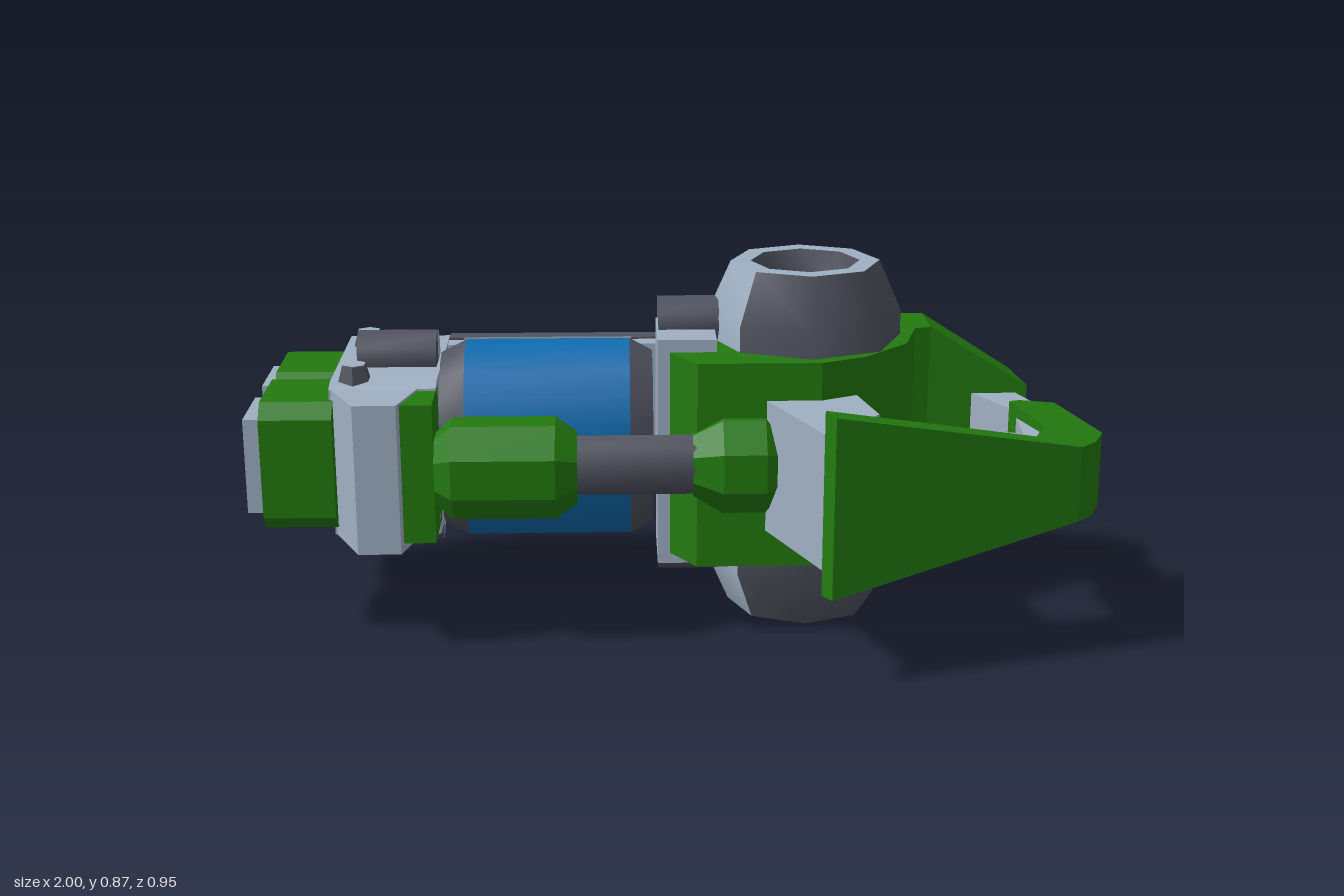
import * as THREE from 'three';
import { toCreasedNormals } from 'three/addons/utils/BufferGeometryUtils.js';

const CY = 0.44; // height of the symmetry plane

export function createModel() {
  const root = new THREE.Group();
  const mat = (name, color) => {
    const m = new THREE.MeshStandardMaterial({ color });
    m.name = name;
    return m;
  };
  const green = mat('green', 0x237a10);
  const light = mat('lightGrey', 0x9fb0c2);
  const dark = mat('darkGrey', 0x50535f);
  const blue = mat('blue', 0x0f6cb0);
  const orange = mat('orange', 0xe2600f);
  const yellow = mat('yellow', 0xe0b010);

  const add = (name, geo, material) => {
    const mesh = new THREE.Mesh(geo, material);
    mesh.name = name;
    root.add(mesh);
    return mesh;
  };

  // Plan outline [x, z] extruded up and down by a half height h(x, z)
  const prism = (name, pts, h, material) => {
    const shape = new THREE.Shape(pts.map(([x, z]) => new THREE.Vector2(x, -z)));
    const g = new THREE.ExtrudeGeometry(shape, { depth: 2, bevelEnabled: false });
    g.rotateX(-Math.PI / 2);
    const p = g.attributes.position;
    for (let i = 0; i < p.count; i++) {
      const half = typeof h === 'number' ? h : h(p.getX(i), p.getZ(i));
      p.setY(i, CY + (p.getY(i) - 1) * half);
    }
    g.computeVertexNormals();
    return add(name, toCreasedNormals(g, 0.45), material);
  };

  // Section [z, y offset] extruded along x
  const bar = (name, pts, x0, x1, material) => {
    const shape = new THREE.Shape(pts.map(([z, y]) => new THREE.Vector2(-z, CY + y)));
    const g = new THREE.ExtrudeGeometry(shape, { depth: x1 - x0, bevelEnabled: false });
    g.rotateY(Math.PI / 2).translate(x0, 0, 0);
    return add(name, toCreasedNormals(g, 0.6), material);
  };
  const symmetric = (half) => [...half, ...half.map(([z, y]) => [z, -y]).reverse()];

  const box = (name, x0, x1, y0, y1, z0, z1, material) => {
    const g = new THREE.BoxGeometry(x1 - x0, y1 - y0, z1 - z0);
    g.translate((x0 + x1) / 2, (y0 + y1) / 2, (z0 + z1) / 2);
    return add(name, g, material);
  };

  // Turned part along x from [x, radius] points, optionally a slice of the turn
  const turned = (name, prof, y, z, sz, sides, material, start = 0, len = Math.PI * 2) => {
    const pts = prof.map(([x, r]) => new THREE.Vector2(r, -x)).reverse();
    const g = new THREE.LatheGeometry(pts, sides, start, len);
    g.rotateZ(Math.PI / 2).scale(1, 1, sz).translate(0, y, z);
    return add(name, toCreasedNormals(g, 0.9), material);
  };
  const twoTone = (name, prof, y, z, sz, sides) => {
    turned(name + 'Front', prof, y, z, sz, sides / 2, dark, -Math.PI / 2, Math.PI);
    turned(name + 'Back', prof, y, z, sz, sides / 2, light, Math.PI / 2, Math.PI);
  };

  // Main body: centre, rear slope and tail spur
  prism('body', [[0, -0.17], [0.11, -0.32], [0.58, -0.32], [0.65, -0.32], [0.65, -0.175], [0.61, -0.165],
    [0.57, -0.02], [0.46, 0.1], [0.35, 0.155], [0.06, 0.155], [0, 0.06]], 0.25, green);
  prism('bodyRear', [[0.11, -0.32], [0.24, -0.46], [0.46, -0.46], [0.59, -0.32]],
    (x, z) => (z < -0.4 ? 0.18 : 0.25), green);
  prism('tailSpur', [[0.65, -0.32], [0.87, -0.29], [0.9, -0.19], [0.65, -0.175]],
    (x) => 0.25 - Math.max(0, x - 0.65) * 0.62, green);

  // Upper and lower domes, dark towards the front, with a lit socket
  for (const s of [1, -1]) {
    const tag = s > 0 ? 'upper' : 'lower';
    const lathe = (name, prof, material, start = 0, segs = 8) => {
      const pts = prof.map(([r, y]) => new THREE.Vector2(r, CY + s * y));
      if (s < 0) pts.reverse();
      const g = new THREE.LatheGeometry(pts, segs, start, segs * Math.PI / 4);
      g.translate(0.33, 0, -0.11);
      add(tag + name, toCreasedNormals(g, 0.9), material);
    };
    const wall = [[0.235, 0.2], [0.235, 0.31], [0.18, 0.435]];
    lathe('DomeFront', wall, dark, -Math.PI / 4, 3);
    lathe('DomeBack', wall, light, Math.PI / 2, 5);
    lathe('DomeRim', [[0.18, 0.435], [0.132, 0.435]], light);
    lathe('SocketWall', [[0.132, 0.435], [0.115, 0.375]], dark);
    lathe('SocketFloor', [[0.115, 0.375], [0, 0.355]], orange);
    const disc = new THREE.CircleGeometry(0.088, 10);
    disc.rotateX(-s * Math.PI / 2).translate(0.325, CY + s * 0.378, -0.145);
    add(tag + 'SocketLight', disc, yellow);
  }

  // Slanted collar and bracket joining the body to the canister
  prism('collar', [[0.1, -0.48], [0.24, -0.48], [0.1, -0.17], [-0.03, -0.17], [0.02, -0.3]],
    (x, z) => (z < -0.4 ? 0.18 : 0.275), light);
  box('bracket', -0.03, 0.11, 0.16, 0.72, -0.17, 0.05, light);

  // Blue canister with dark end caps and pale stripes
  turned('canister', [[-0.49, 0.245], [-0.095, 0.245]], CY, -0.1, 0.74, 20, blue);
  for (const [a, b, ra, rb] of [[-0.55, -0.49, 0.215, 0.245], [-0.095, -0.04, 0.245, 0.215]]) {
    turned('canisterCap', [[a, 0], [a, ra], [b, rb], [b, 0]], CY, -0.1, 0.74, 20, dark);
  }
  for (const s of [1, -1]) {
    bar('canisterStripe', [[-0.225, s * 0.186], [-0.175, s * 0.232], [-0.175, s * 0.2], [-0.225, s * 0.15]],
      -0.5, -0.09, light);
  }

  // Rear panel behind the canister with dark grooves
  bar('rearPanel', symmetric([[-0.4, 0.13], [-0.38, 0.17], [-0.36, 0.185], [-0.28, 0.185]]), -0.56, 0.06, light);
  for (const s of [1, -1]) {
    const y = CY + s * 0.186;
    box('panelGroove', -0.55, 0.05, y - 0.004, y + 0.004, -0.38, -0.33, dark);
  }

  // Front block and its chin
  bar('frontBlock', symmetric([[-0.42, 0.12], [-0.4, 0.16], [-0.36, 0.19], [0.06, 0.19], [0.1, 0.18]]),
    -0.8, -0.55, light);
  prism('frontChin', [[-0.8, 0.09], [-0.73, 0.24], [-0.63, 0.24], [-0.59, 0.09]], 0.18, light);
  box('chinPad', -0.63, -0.55, 0.28, 0.615, 0.05, 0.22, green);

  // Bolts and pins above and below
  for (const s of [1, -1]) {
    for (const z of [-0.275, 0.045]) {
      const g = new THREE.CylinderGeometry(s > 0 ? 0.03 : 0.045, s > 0 ? 0.045 : 0.03, 0.05, 6);
      g.translate(-0.745, CY + s * 0.2, z);
      add('bolt', g.toNonIndexed(), dark).geometry.computeVertexNormals();
      const cap = new THREE.CircleGeometry(0.03, 6);
      cap.rotateX(-s * Math.PI / 2).rotateY(Math.PI / 6).translate(-0.745, CY + s * 0.227, z);
      add('boltCap', cap, light);
    }
    twoTone('frontPin', [[-0.75, 0], [-0.75, 0.063], [-0.56, 0.063], [-0.56, 0]], CY + s * 0.205, -0.115, 1, 12);
    twoTone('rearPin', [[-0.025, 0], [-0.025, 0.063], [0.12, 0.063], [0.12, 0]], CY + s * 0.287, -0.11, 1, 12);
  }

  // Twin muzzles with hollow tips
  for (const zc of [-0.242, 0.018]) {
    const w = 0.132, h = 0.155, c = 0.035;
    bar('muzzle', symmetric([[zc - w, h - c], [zc - w + c, h], [zc + w - c, h], [zc + w, h - c]]),
      -0.96, -0.79, green);
    const zt = zc < -0.1 ? -0.255 : 0.032;
    for (const s of [1, -1]) {
      box('muzzleTipRail', -1, -0.95, CY + s * 0.1 - 0.015, CY + s * 0.1 + 0.015, zt - 0.093, zt + 0.093, light);
      box('muzzleTipSide', -1, -0.95, CY - 0.085, CY + 0.085, zt + s * 0.078 - 0.015, zt + s * 0.078 + 0.015, light);
    }
    box('muzzleTipFloor', -0.98, -0.955, CY - 0.085, CY + 0.085, zt - 0.063, zt + 0.063, light);
  }

  // Side tube: green sleeve, rod and socket
  const oct = (name, prof, z) => {
    const m = turned(name, prof, CY + 0.005, z, 0.87, 8, green, Math.PI / 8);
    m.geometry.computeVertexNormals();
  };
  oct('sleeve', [[-0.55, 0], [-0.55, 0.085], [-0.51, 0.122], [-0.27, 0.122], [-0.22, 0.085], [-0.22, 0]], 0.163);
  twoTone('sideRod', [[-0.24, 0.073], [0.08, 0.073]], CY + 0.005, 0.15, 0.72, 8);
  oct('rodSocket', [[0.05, 0], [0.05, 0.08], [0.12, 0.122], [0.22, 0.122], [0.26, 0.08], [0.26, 0]], 0.135);

  // Handle: grey inner frame and flared green guard
  const flare = (x) => Math.max(0.09, 0.215 - (x - 0.34) * 0.22);
  prism('handleArm', [[0.2, 0.1], [0.43, 0.08], [0.47, 0.27], [0.36, 0.43], [0.33, 0.42]], 0.16, light);
  prism('handleFrame', [[0.47, 0.265], [0.82, 0.2], [0.87, 0.28], [0.36, 0.43]],
    (x) => flare(x) - 0.05 * (x < 0.6 ? 1 : 0.4), light);
  prism('handleNeck', [[0.82, 0.22], [0.835, -0.03], [0.76, -0.18], [0.87, -0.18], [0.92, -0.03], [0.91, 0.2]],
    0.078, light);
  prism('guard', [[0.33, 0.43], [0.35, 0.475], [0.93, 0.31], [0.97, 0.27], [1, 0.2], [0.94, -0.05],
    [0.85, -0.03], [0.82, 0], [0.87, 0.17], [0.83, 0.28]], flare, green);

  // Centre the model and stand it on the ground
  const b = new THREE.Box3().setFromObject(root);
  const c = b.getCenter(new THREE.Vector3());
  for (const m of root.children) m.position.set(-c.x, -b.min.y, -c.z);
  return root;
}
